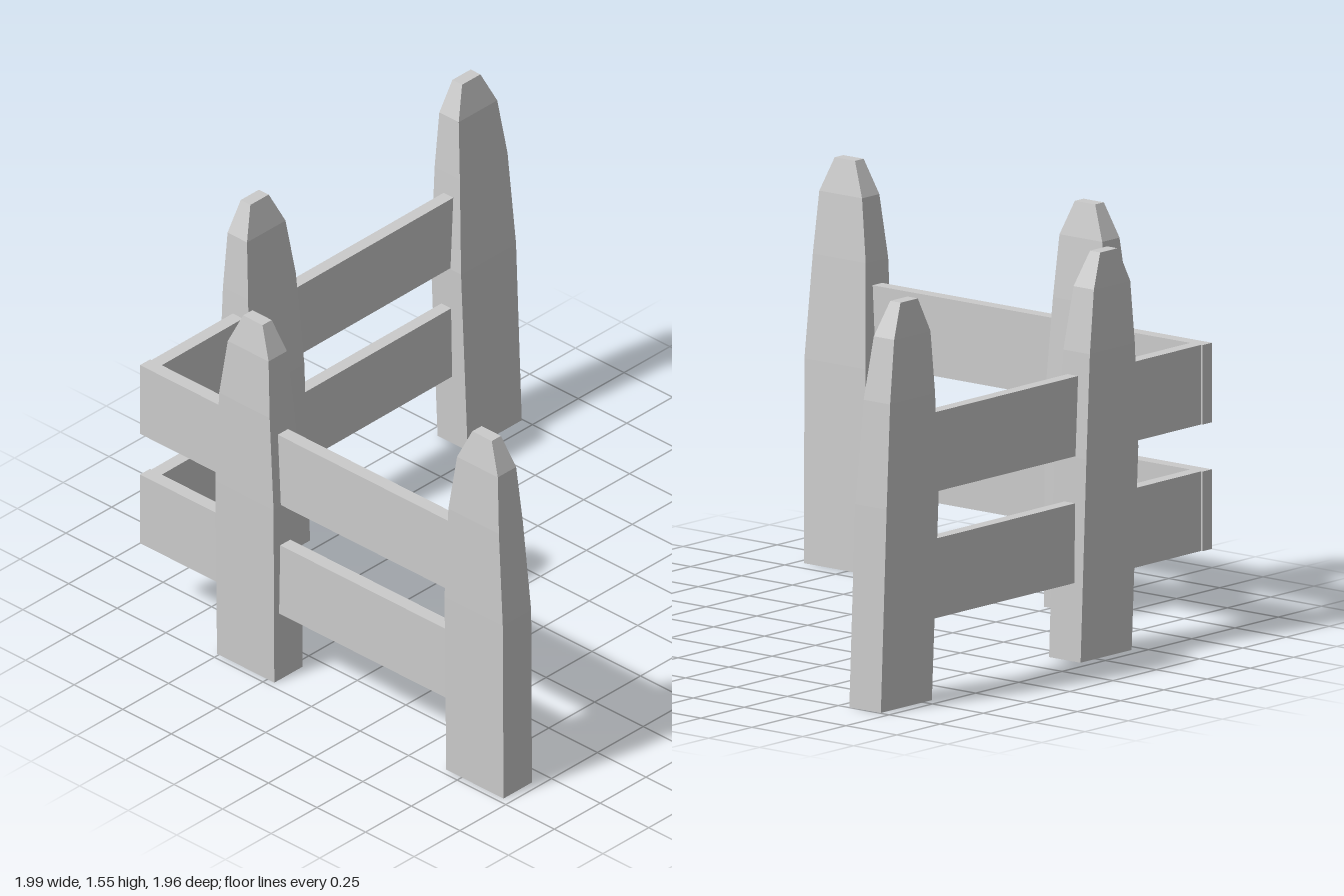
import * as THREE from 'three';

const material = new THREE.MeshStandardMaterial({ color: 0xcccccc, flatShading: true });

// Post cross-sections from the ground up: height, left, right, back, front
const POST_LEVELS = [
  [0.0, -0.14, 0.155, -0.065, 0.09],
  [0.78, -0.155, 0.145, -0.085, 0.07],
  [1.18, -0.135, 0.125, -0.085, 0.045],
  [1.42, -0.12, 0.09, -0.075, 0.025],
  [1.55, -0.07, 0.03, -0.055, -0.005],
];

// Tapered, slightly crooked post: a box whose rows are fitted to the levels
function createPostGeometry() {
  const rows = POST_LEVELS.length - 1;
  const box = new THREE.BoxGeometry(1, 1, 1, 1, rows, 1);
  const p = box.attributes.position;
  for (let i = 0; i < p.count; i++) {
    const [y, left, right, back, front] = POST_LEVELS[Math.round((p.getY(i) + 0.5) * rows)];
    p.setXYZ(i, p.getX(i) < 0 ? left : right, y, p.getZ(i) < 0 ? back : front);
  }
  const geometry = box.toNonIndexed();
  geometry.computeVertexNormals();
  return geometry;
}

// L-shaped rail running along both fence sides, drawn in plan as (x, z)
function createRailGeometry(height) {
  const plan = [
    [-0.955, -0.925], [-0.9, -0.925], [-0.9, -0.918], [0.75, -0.925],
    [0.75, -0.875], [-0.9, -0.865], [-0.9, 0.75], [-0.955, 0.75],
  ];
  const shape = new THREE.Shape(plan.map(([x, z]) => new THREE.Vector2(x, z)));
  const geometry = new THREE.ExtrudeGeometry(shape, { depth: height, bevelEnabled: false });
  return geometry.rotateX(Math.PI / 2).translate(0, height, 0);
}

export function createModel() {
  const fence = new THREE.Group();
  fence.name = 'cornerFence';

  // Posts: two on the back side, two turned a quarter on the model's right side
  const postGeometry = createPostGeometry();
  const posts = [
    ['backPostInner', -0.315, -0.89, 0],
    ['backPostOuter', 0.84, -0.89, 0],
    ['sidePostInner', -0.91, -0.355, Math.PI / 2],
    ['sidePostOuter', -0.91, 0.825, Math.PI / 2],
  ];
  for (const [name, x, z, turn] of posts) {
    const post = new THREE.Mesh(postGeometry, material);
    post.name = name;
    post.position.set(x, 0, z);
    post.rotation.y = turn;
    fence.add(post);
  }

  // Lower and upper rails
  const railGeometry = createRailGeometry(0.305);
  for (const [name, y] of [['lowerRail', 0.3], ['upperRail', 0.785]]) {
    const rail = new THREE.Mesh(railGeometry, material);
    rail.name = name;
    rail.position.y = y;
    fence.add(rail);
  }

  return fence;
}
